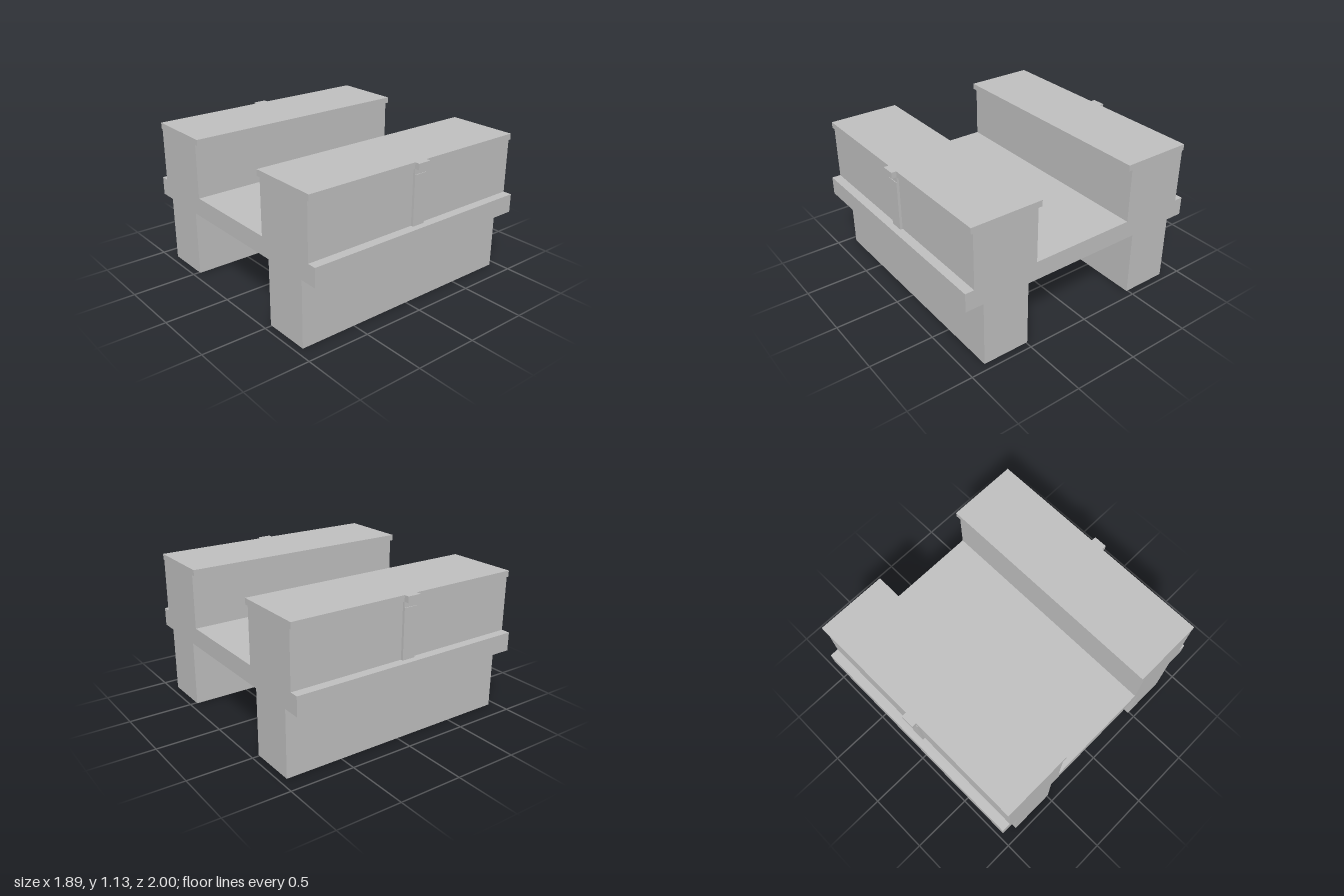
import * as THREE from 'three';

// Sweep a (z, y) outline along x, centred on x = 0
function sweep(points, width, material, name) {
  const shape = new THREE.Shape(points.map(([z, y]) => new THREE.Vector2(z, y)));
  const geometry = new THREE.ExtrudeGeometry(shape, { depth: width, bevelEnabled: false });
  geometry.translate(0, 0, -width / 2);
  geometry.rotateY(-Math.PI / 2);
  const mesh = new THREE.Mesh(geometry, material);
  mesh.name = name;
  return mesh;
}

export function createModel() {
  const model = new THREE.Group();
  model.name = 'bridgeSection';
  const stone = new THREE.MeshStandardMaterial({ color: 0xc0c0c0 });
  stone.name = 'greyStone';

  // Half outline: from under the deck, round the girder, ledge, wall and coping, to the deck top
  const half = [
    [0.49, 0.515], [0.49, 0], [0.86, 0], [0.86, 0.515],
    [1, 0.515], [1, 0.66], [0.93, 0.66],
    [0.93, 1.083], [0.945, 1.083], [0.945, 1.13],
    [0.388, 1.13], [0.388, 1.083], [0.42, 1.083], [0.42, 0.66],
  ];
  const mirrored = half.map(([z, y]) => [-z, y]).reverse();
  model.add(sweep([...half, ...mirrored], 1.89, stone, 'deckGirdersAndParapets'));

  // Pilaster with projecting cap in the middle of each outer wall
  const pilaster = [
    [0.92, 0.66], [0.95, 0.66], [0.95, 1.04], [0.945, 1.04],
    [0.945, 1.083], [0.983, 1.083], [0.983, 1.13], [0.92, 1.13],
  ];
  for (const [side, name] of [[1, 'frontPilaster'], [-1, 'backPilaster']]) {
    const mesh = sweep(pilaster, 0.105, stone, name);
    if (side < 0) mesh.rotation.y = Math.PI;
    model.add(mesh);
  }
  return model;
}
